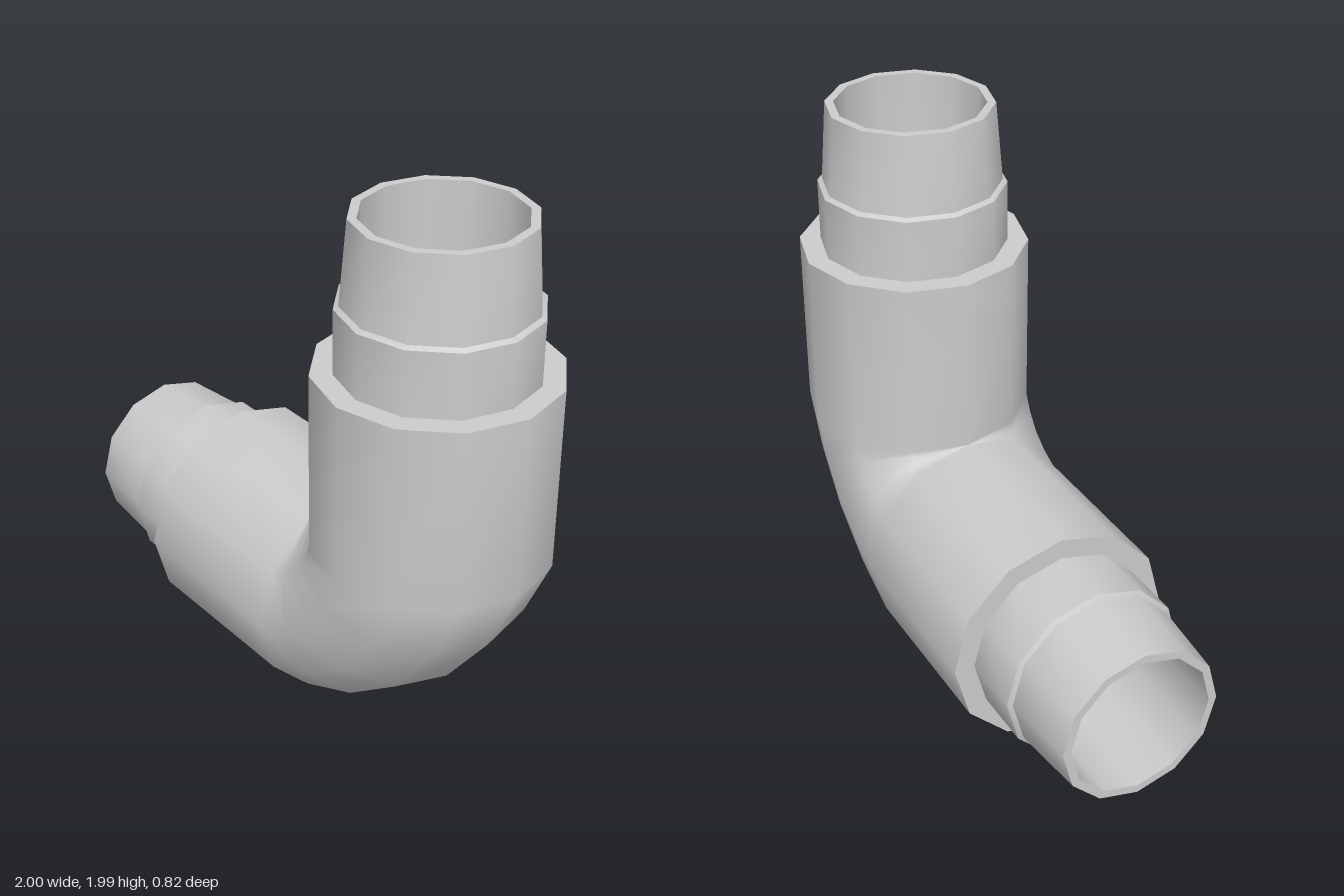
import * as THREE from 'three';

const SIDES = 12;
const R = 0.41, BORE = 0.265;     // body and bore radius
const AXIS_X = 0.59, AXIS_Y = 0.41; // axis of upright arm, axis of level arm
const PIVOT = [0.18, 0.82];       // inside corner of the bend

// Cross-sections: centre (x, y), in-plane spoke towards the outer bend, half-width in z
const level = (x, r) => ({ x, y: AXIS_Y, dx: 0, dy: -r, rz: r });
const upright = (y, r) => ({ x: AXIS_X, y, dx: r, dy: 0, rz: r });

// Sections of the bend, fanned out from the pivot to points on the outer curve
const bend = (r) => [[0.44, 0.12], [0.69, 0.31], [0.88, 0.56]].map(([ox, oy]) => {
  const hx = (ox - PIVOT[0]) / 2, hy = (oy - PIVOT[1]) / 2, k = r / R;
  return { x: PIVOT[0] + hx, y: PIVOT[1] + hy, dx: hx * k, dy: hy * k, rz: r };
});

// Smooth skin through a row of cross-sections
function skin(sections) {
  const pos = [], index = [];
  for (const s of sections) {
    for (let j = 0; j < SIDES; j++) {
      const a = (j / SIDES) * Math.PI * 2, c = Math.cos(a);
      pos.push(s.x + s.dx * c, s.y + s.dy * c, s.rz * Math.sin(a));
    }
  }
  for (let i = 0; i < sections.length - 1; i++) {
    for (let j = 0; j < SIDES; j++) {
      const a = i * SIDES + j, b = i * SIDES + (j + 1) % SIDES;
      index.push(a, a + SIDES, b, b, a + SIDES, b + SIDES);
    }
  }
  const geo = new THREE.BufferGeometry();
  geo.setAttribute('position', new THREE.Float32BufferAttribute(pos, 3));
  geo.setIndex(index);
  geo.computeVertexNormals();
  return geo;
}

export function createModel() {
  const group = new THREE.Group();
  const material = new THREE.MeshStandardMaterial({ color: 0xcccccc });
  const add = (parent, name, sections) => {
    const mesh = new THREE.Mesh(skin(sections), material);
    mesh.name = name;
    parent.add(mesh);
  };

  // Stepped end of each arm, from the body shoulder out to the lip
  const names = ['shoulder', 'collar', 'collarStep', 'taperedSpigot', 'lip'];
  const radii = [R, 0.335, 0.335, 0.318, 0.295, BORE];
  const ends = [
    ['sideEnd', level, [-0.48, -0.48, -0.705, -0.715, -1, -1], true],
    ['topEnd', upright, [1.47, 1.47, 1.695, 1.705, 1.99, 1.99], false],
  ];
  for (const [endName, section, stations, reversed] of ends) {
    const end = new THREE.Group();
    end.name = endName;
    names.forEach((name, i) => {
      const pair = [section(stations[i], radii[i]), section(stations[i + 1], radii[i + 1])];
      add(end, name, reversed ? pair.reverse() : pair);
    });
    group.add(end);
  }

  // Elbow body and the bore running through it
  const run = (x, y, r) => [level(x, r), level(PIVOT[0], r), ...bend(r), upright(PIVOT[1], r), upright(y, r)];
  add(group, 'elbowBody', run(-0.48, 1.47, R));
  add(group, 'bore', run(-1, 1.99, BORE).reverse());
  return group;
}
